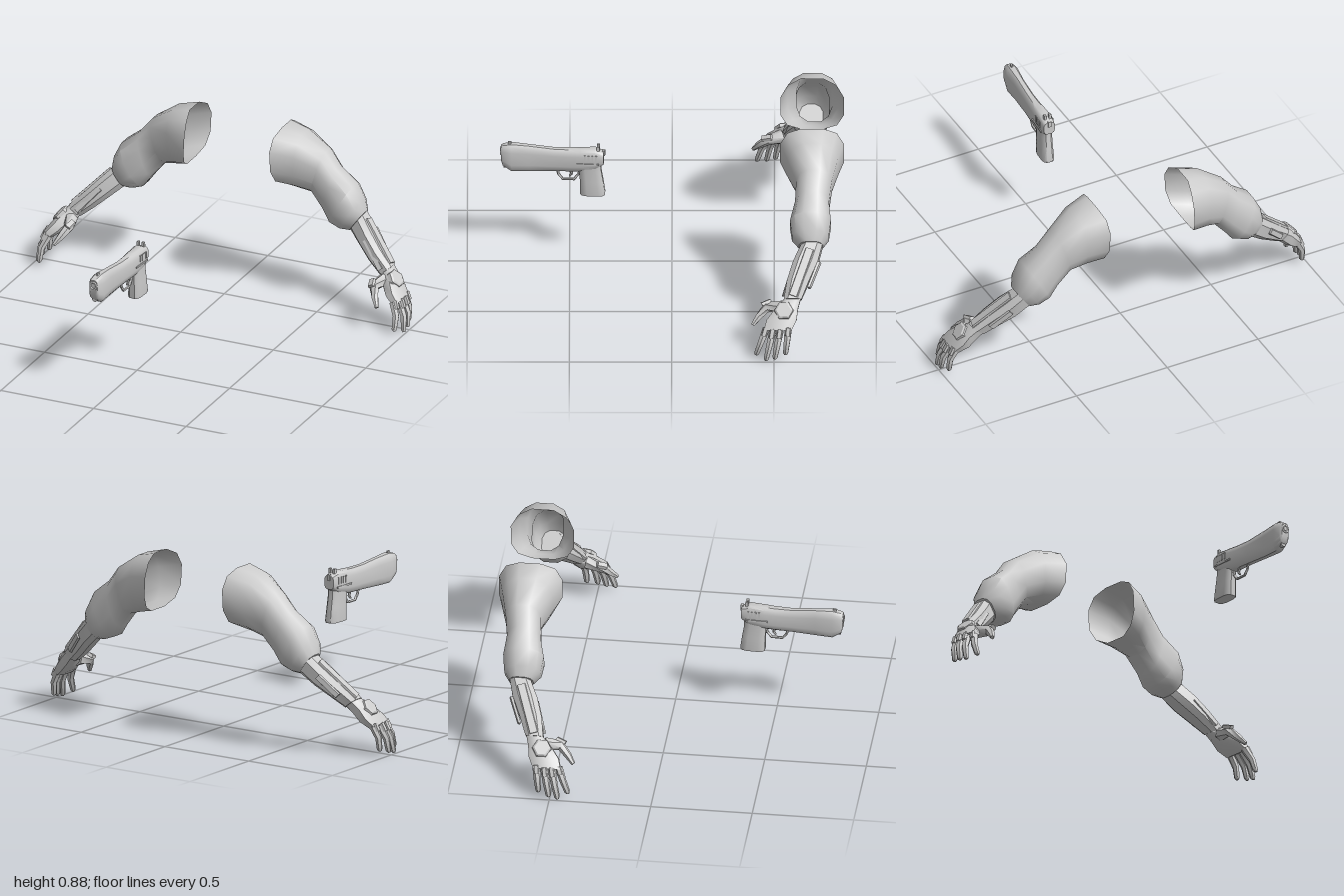
import * as THREE from 'three';
import { toCreasedNormals } from 'three/addons/utils/BufferGeometryUtils.js';

const material = new THREE.MeshStandardMaterial({ color: 0xcccccc });
const openMaterial = new THREE.MeshStandardMaterial({ color: 0xcccccc, side: THREE.DoubleSide });
const V = (x, y, z) => new THREE.Vector3(x, y, z);

// Skin over equal-length rings, turned outward by its signed volume
function loft(rings, { capStart = true, capEnd = true, crease = 0.6 } = {}) {
  const n = rings[0].length, pts = rings.flat(), idx = [];
  for (let r = 0; r < rings.length - 1; r++) {
    for (let i = 0; i < n; i++) {
      const a = r * n + i, b = r * n + (i + 1) % n;
      idx.push(a, b, a + n, b, b + n, a + n);
    }
  }
  const cap = (start, flip) => {
    for (let i = 1; i < n - 1; i++) {
      idx.push(start, start + (flip ? i + 1 : i), start + (flip ? i : i + 1));
    }
  };
  if (capStart) cap(0, true);
  if (capEnd) cap((rings.length - 1) * n, false);
  const mid = pts.reduce((s, p) => s.add(p), V(0, 0, 0)).divideScalar(pts.length);
  let volume = 0;
  for (let i = 0; i < idx.length; i += 3) {
    const [a, b, c] = [0, 1, 2].map(k => pts[idx[i + k]].clone().sub(mid));
    volume += a.dot(b.cross(c));
  }
  if (volume < 0) idx.reverse();
  const g = new THREE.BufferGeometry().setFromPoints(pts);
  g.setIndex(idx);
  return toCreasedNormals(g, crease);
}

// Rounded-box ring around a centre with two half axes
function ring(c, a, b, n, power) {
  return Array.from({ length: n }, (_, i) => {
    const t = (i + 0.5) / n * Math.PI * 2;
    const bend = v => Math.sign(v) * Math.abs(v) ** power;
    return c.clone().addScaledVector(a, bend(Math.cos(t))).addScaledVector(b, bend(Math.sin(t)));
  });
}

// Tapered rod along a path
function rod(path, radii, n = 6) {
  return loft(path.map((p, i) => {
    const dir = path[Math.min(i + 1, path.length - 1)].clone().sub(path[Math.max(i - 1, 0)]).normalize();
    const a = V(0.37, 0.2, 0.91).cross(dir).normalize();
    return ring(p, a.clone().multiplyScalar(radii[i]), a.clone().cross(dir).multiplyScalar(radii[i]), n, 1);
  }), { crease: 0.9 });
}

// Flat raised strip from a to b, facing along normal
function plate(a, b, half, thick, normal) {
  const up = normal.clone().normalize();
  const side = b.clone().sub(a).cross(up).normalize();
  return loft([a, b].map(p => [[-1, -1], [1, -1], [0.75, 1], [-0.75, 1]].map(([u, v]) =>
    p.clone().addScaledVector(side, u * half).addScaledVector(up, v * thick))));
}

function add(group, name, geometry, mat = material) {
  const mesh = new THREE.Mesh(geometry, mat);
  mesh.name = name;
  group.add(mesh);
  return mesh;
}

function createArm(s) {
  const arm = new THREE.Group();
  arm.name = s > 0 ? 'leftArm' : 'rightArm';
  const P = (x, y, z) => V(x * s, y, z);
  // Section: upper x, y, lower x, y, front z, back z
  const section = ([ux, uy, lx, ly, zf, zb], n, power) => ring(
    P((ux + lx) / 2, (uy + ly) / 2, (zf + zb) / 2),
    P((ux - lx) / 2, (uy - ly) / 2, 0), V(0, 0, (zf - zb) / 2), n, power);

  // Sleeve, open at the shoulder
  const sleeve = [
    [0.26, 0.89, 0.275, 0.59, -0.525, -0.845],
    [0.35, 0.865, 0.33, 0.575, -0.56, -0.815],
    [0.47, 0.785, 0.40, 0.555, -0.605, -0.785],
    [0.535, 0.705, 0.465, 0.475, -0.60, -0.77],
    [0.625, 0.635, 0.505, 0.42, -0.575, -0.78],
    [0.665, 0.555, 0.56, 0.40, -0.585, -0.77],
    [0.68, 0.50, 0.605, 0.395, -0.62, -0.74],
  ].map(q => section(q, 12, 0.8));
  sleeve[0].forEach(p => { p.x -= s * 0.036 * Math.min(1, Math.abs(p.z + 0.685) / 0.155); });
  add(arm, 'sleeve', loft(sleeve, { capStart: false, crease: 0.8 }), openMaterial);

  // Forearm and hand
  add(arm, 'forearm', loft([
    [0.672, 0.495, 0.605, 0.40, -0.63, -0.74],
    [0.73, 0.435, 0.675, 0.34, -0.59, -0.718],
    [0.80, 0.36, 0.74, 0.285, -0.56, -0.675],
    [0.872, 0.287, 0.805, 0.235, -0.545, -0.637],
  ].map(q => section(q, 8, 0.7))));
  add(arm, 'palm', loft([
    [0.868, 0.283, 0.81, 0.238, -0.545, -0.632],
    [0.905, 0.25, 0.84, 0.20, -0.50, -0.62],
    [0.937, 0.205, 0.875, 0.165, -0.46, -0.615],
    [0.967, 0.16, 0.92, 0.135, -0.445, -0.59],
  ].map(q => section(q, 8, 0.7)), { crease: 0.8 }));

  // Fingers: base x, y, z, tip x, y, z
  [
    [0.93, 0.15, -0.462, 0.96, 0.02, -0.412],
    [0.945, 0.15, -0.495, 0.99, 0.004, -0.46],
    [0.95, 0.15, -0.53, 0.991, 0.014, -0.503],
    [0.94, 0.155, -0.57, 0.974, 0.028, -0.556],
  ].forEach(([x, y, z, tx, ty, tz]) => {
    const base = P(x, y, z), tip = P(tx, ty, tz);
    const joint = base.clone().lerp(tip, 0.5).add(P(0.012, 0.005, 0));
    add(arm, 'finger', rod([base, joint, base.clone().lerp(tip, 0.92), tip], [0.02, 0.017, 0.014, 0.007]));
    add(arm, 'knucklePlate', plate(base.clone().add(P(0.016, 0.015, 0)),
      base.clone().lerp(joint, 0.5).add(P(0.017, 0.006, 0)), 0.012, 0.006, P(0.9, 0.4, 0)));
  });
  add(arm, 'thumb', rod([P(0.845, 0.225, -0.54), P(0.825, 0.212, -0.465), P(0.85, 0.172, -0.425), P(0.872, 0.138, -0.396)],
    [0.034, 0.025, 0.018, 0.01]));
  add(arm, 'thumbPlate', plate(P(0.808, 0.24, -0.485), P(0.82, 0.225, -0.44), 0.016, 0.008, P(-0.3, 0.75, 0.5)));

  // Hexagonal pad on the back of the hand
  const normal = P(0.74, 0.66, 0.1).normalize();
  const along = P(0.66, -0.74, 0).normalize(), across = normal.clone().cross(along);
  add(arm, 'handPad', loft([[-0.01, 0.05], [0.008, 0.046], [0.014, 0.036]].map(([h, r]) =>
    ring(P(0.906, 0.238, -0.548).addScaledVector(normal, h), along.clone().multiplyScalar(r),
      across.clone().multiplyScalar(r), 6, 1)), { crease: 0.2 }));

  // Raised forearm plating
  add(arm, 'forearmPlate', plate(P(0.695, 0.465, -0.675), P(0.86, 0.294, -0.592), 0.024, 0.01, P(0.7, 0.7, 0)));
  add(arm, 'frontRail', plate(P(0.715, 0.39, -0.597), P(0.82, 0.27, -0.548), 0.016, 0.007, P(0.2, 0.2, 1)));
  add(arm, 'backRail', plate(P(0.715, 0.40, -0.722), P(0.80, 0.305, -0.672), 0.016, 0.006, P(0.2, 0.2, -1)));
  return arm;
}

function createPistol() {
  const pistol = new THREE.Group();
  pistol.name = 'pistol';
  const box = (name, w, h, d, x, y, z) =>
    add(pistol, name, new THREE.BoxGeometry(w, h, d)).position.set(x, y, z);
  const cylinder = (name, r, len, y, z) => {
    const m = add(pistol, name, toCreasedNormals(new THREE.CylinderGeometry(r, r, len, 12), 0.8));
    m.rotation.x = Math.PI / 2;
    m.position.set(0, y, z);
  };

  // Body sections: z, top, bottom, half width
  add(pistol, 'body', loft([
    [0.837, 0.605, 0.53, 0.021],
    [0.828, 0.612, 0.503, 0.027],
    [0.785, 0.62, 0.473, 0.032],
    [0.70, 0.613, 0.474, 0.024],
    [0.58, 0.601, 0.48, 0.025],
    [0.50, 0.601, 0.482, 0.029],
    [0.45, 0.604, 0.485, 0.032],
    [0.375, 0.608, 0.50, 0.034],
    [0.334, 0.592, 0.525, 0.028],
  ].map(([z, t, b, w]) => ring(V(0, (t + b) / 2, z), V(w * 1.05, 0, 0), V(0, (t - b) / 2 * 1.03, 0), 12, 0.6)),
  { crease: 0.7 }));

  // Grip sections: y, back z, front z, half width
  add(pistol, 'grip', loft([
    [0.355, 0.328, 0.448, 0.031], [0.365, 0.327, 0.449, 0.032], [0.43, 0.336, 0.45, 0.029],
    [0.49, 0.346, 0.454, 0.028], [0.53, 0.346, 0.456, 0.028],
  ].map(([y, b, f, w]) => ring(V(0, y, (b + f) / 2), V(w * 1.04, 0, 0), V(0, 0, (f - b) / 2 * 1.02), 12, 0.6)),
  { crease: 0.7 }));

  // Trigger and guard
  const guard = [[0.485, 0.562], [0.458, 0.555], [0.432, 0.535], [0.432, 0.48], [0.46, 0.458], [0.485, 0.452]]
    .map(([y, z]) => V(0, y, z));
  add(pistol, 'triggerGuard', rod(guard, guard.map(() => 0.007)));
  add(pistol, 'trigger', rod([V(0, 0.485, 0.497), V(0, 0.462, 0.49), V(0, 0.448, 0.502)], [0.008, 0.007, 0.005]));

  // Muzzle, lower rod, sights and hammer
  add(pistol, 'muzzleRing', new THREE.TorusGeometry(0.018, 0.005, 8, 16)).position.set(0, 0.577, 0.836);
  cylinder('barrel', 0.011, 0.03, 0.577, 0.824);
  cylinder('lowerRod', 0.014, 0.06, 0.5, 0.795);
  box('frontSight', 0.01, 0.018, 0.016, 0, 0.62, 0.795);
  box('hammer', 0.016, 0.03, 0.014, 0, 0.585, 0.334);
  for (const s of [-1, 1]) {
    box('rearSight', 0.012, 0.024, 0.014, s * 0.013, 0.613, 0.36);
    box('slideRail', 0.006, 0.008, 0.11, s * 0.035, 0.534, 0.41);
    for (let i = 0; i < 4; i++) box('slideGrip', 0.006, 0.034, 0.008, s * 0.034, 0.566, 0.37 + i * 0.018);
  }
  pistol.rotation.y = -0.067;
  pistol.position.x = -0.022;
  return pistol;
}

export function createModel() {
  const model = new THREE.Group();
  model.name = 'armsAndPistol';
  model.add(createArm(1), createArm(-1), createPistol());
  return model;
}
